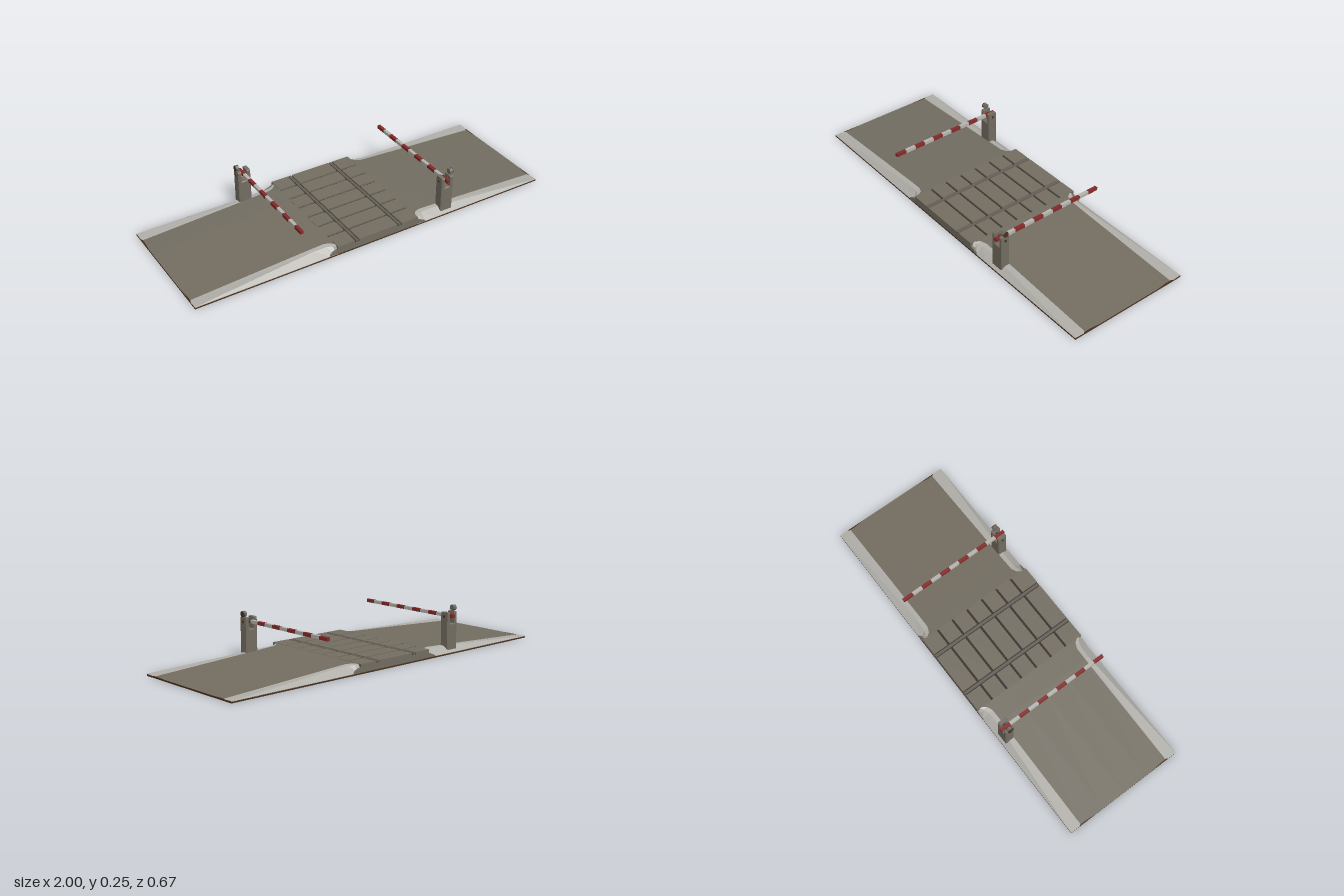
import * as THREE from 'three';

const mat = (name, color) => Object.assign(new THREE.MeshStandardMaterial({ color }), { name });

export function createModel() {
  const concrete = mat('concrete', 0x736d61);
  const gravel = mat('pale gravel', 0xb0aea8);
  gravel.side = concrete.side = THREE.DoubleSide;
  const soil = mat('brown soil', 0x4a301d);
  const gap = mat('dark gap', 0x322e29);
  const steel = mat('rail steel', 0x645f57);
  const lampGrey = mat('lamp grey', 0x6e6a66);
  const red = mat('barrier red', 0x842a2a);
  const white = mat('barrier white', 0xb6b4ae);

  const model = new THREE.Group();
  model.name = 'levelCrossing';

  const add = (parent, name, geometry, material, x = 0, y = 0, z = 0) => {
    const mesh = new THREE.Mesh(geometry, material);
    mesh.name = name;
    mesh.position.set(x, y, z);
    parent.add(mesh);
    return mesh;
  };
  // box given by its limits
  const box = (parent, name, material, x0, x1, y0, y1, z0, z1) =>
    add(parent, name, new THREE.BoxGeometry(x1 - x0, y1 - y0, z1 - z0), material,
      (x0 + x1) / 2, (y0 + y1) / 2, (z0 + z1) / 2);

  // flat-shaded surface through rows of points
  const loft = (rows) => {
    const pos = [];
    for (let i = 0; i < rows.length - 1; i++) {
      for (let j = 0; j < rows[i].length - 1; j++) {
        const a = rows[i][j], b = rows[i][j + 1], c = rows[i + 1][j + 1], d = rows[i + 1][j];
        pos.push(...a, ...b, ...c, ...a, ...c, ...d);
      }
    }
    const g = new THREE.BufferGeometry();
    g.setAttribute('position', new THREE.Float32BufferAttribute(pos, 3));
    g.computeVertexNormals();
    return g;
  };

  // ground slab
  box(model, 'groundSlab', soil, -1, 1, 0, 0.0075, -0.333, 0.333);

  // crossing deck: sub-base, dark joint floor, panels and rails
  const base = new THREE.Shape([
    [-0.28, 0.007], [0.28, 0.007], [0.28, 0.014], [0.235, 0.032],
    [0.235, 0.04], [-0.235, 0.04], [-0.235, 0.032], [-0.28, 0.014],
  ].map(([x, y]) => new THREE.Vector2(x, y)));
  add(model, 'deckBase', new THREE.ExtrudeGeometry(base, { depth: 0.666, bevelEnabled: false }),
    concrete, 0, 0, -0.333);
  box(model, 'jointFloor', gap, -0.235, 0.235, 0.04, 0.042, -0.332, 0.332);
  const joints = [-0.24, -0.147, -0.053, 0.042, 0.137, 0.232];
  const edges = [-0.339, ...joints, 0.339];
  for (const [x0, x1] of [[-0.235, -0.138], [-0.112, 0.112], [0.138, 0.235]]) {
    for (let i = 0; i < edges.length - 1; i++) {
      box(model, 'deckPanel', concrete, x0, x1, 0.04, 0.05, edges[i] + 0.006, edges[i + 1] - 0.006);
    }
  }
  for (const x of [-0.125, 0.125]) {
    box(model, 'rail', steel, x - 0.007, x + 0.007, 0.04, 0.049, -0.333, 0.333);
  }

  // one side: ramp with its two banks, and a barrier
  const buildSide = () => {
    const side = new THREE.Group();
    side.name = 'approach';

    // x, road height, road edge z, bank ridge z, ridge height
    const sections = [
      [0.235, 0.0495, 0.305, 0.318, 0.044],
      [0.25, 0.0487, 0.284, 0.305, 0.043],
      [0.28, 0.047, 0.271, 0.295, 0.042],
      [0.35, 0.0435, 0.27, 0.292, 0.041],
      [1, 0.0085, 0.27, 0.331, 0.01],
    ];
    add(side, 'ramp', loft(sections.map(([x, y, z]) =>
      [-1, -0.5, 0, 0.5, 1].map(t => [x, y - 0.001 * t * t, z * t]))), concrete);
    for (const s of [-1, 1]) {
      add(side, 'bank', loft(sections.map(([x, y, z, rz, ry]) => {
        const row = [[x, y - 0.001, z], [x, ry, rz], [x, 0.01, 0.333], [x, 0.007, 0.333]]
          .map(p => [p[0], p[1], p[2] * s]);
        return s > 0 ? row.reverse() : row;
      }).map(r => r.reverse())), gravel);
    }
    // brown edge closing the outer end of the ramp
    box(side, 'rampEnd', soil, 0.994, 1, 0, 0.008, -0.333, 0.333);

    const barrier = new THREE.Group();
    barrier.name = 'barrier';
    barrier.position.set(0.42, 0, 0.294);
    side.add(barrier);

    // forked post with bevelled edges
    const fork = new THREE.Shape([
      [-0.031, 0.014], [0.031, 0.014], [0.031, 0.211], [0.019, 0.211],
      [0.019, 0.152], [-0.019, 0.152], [-0.019, 0.211], [-0.031, 0.211],
    ].map(([x, y]) => new THREE.Vector2(x, y)));
    add(barrier, 'post', new THREE.ExtrudeGeometry(fork, {
      depth: 0.042, bevelThickness: 0.004, bevelSize: 0.004, bevelSegments: 1,
    }), concrete, 0, 0, -0.021);

    // eight-sided disc lying along x
    const disc = (name, r, len, material, x, y) => {
      const g = new THREE.CylinderGeometry(r, r, len, 8).toNonIndexed();
      g.rotateY(Math.PI / 8).rotateZ(Math.PI / 2).computeVertexNormals();
      return add(barrier, name, g, material, x, y, 0);
    };
    disc('pivot', 0.007, 0.076, soil, 0, 0.193);
    disc('lamp', 0.0155, 0.016, lampGrey, 0.029, 0.232);
    disc('lampFace', 0.0155, 0.003, soil, 0.0385, 0.232);
    box(barrier, 'lampStem', lampGrey, 0.024, 0.034, 0.208, 0.222, -0.006, 0.006);

    // striped arm
    const step = 0.058;
    for (let i = 0; i < 11; i++) {
      const z = 0.034 - i * step;
      box(barrier, 'armStripe', i % 2 ? white : red, -0.0085, 0.0085, 0.185, 0.202, z - step, z);
    }
    return side;
  };

  const leftSide = buildSide();
  const rightSide = buildSide();
  rightSide.rotation.y = Math.PI;
  model.add(leftSide, rightSide);
  return model;
}
